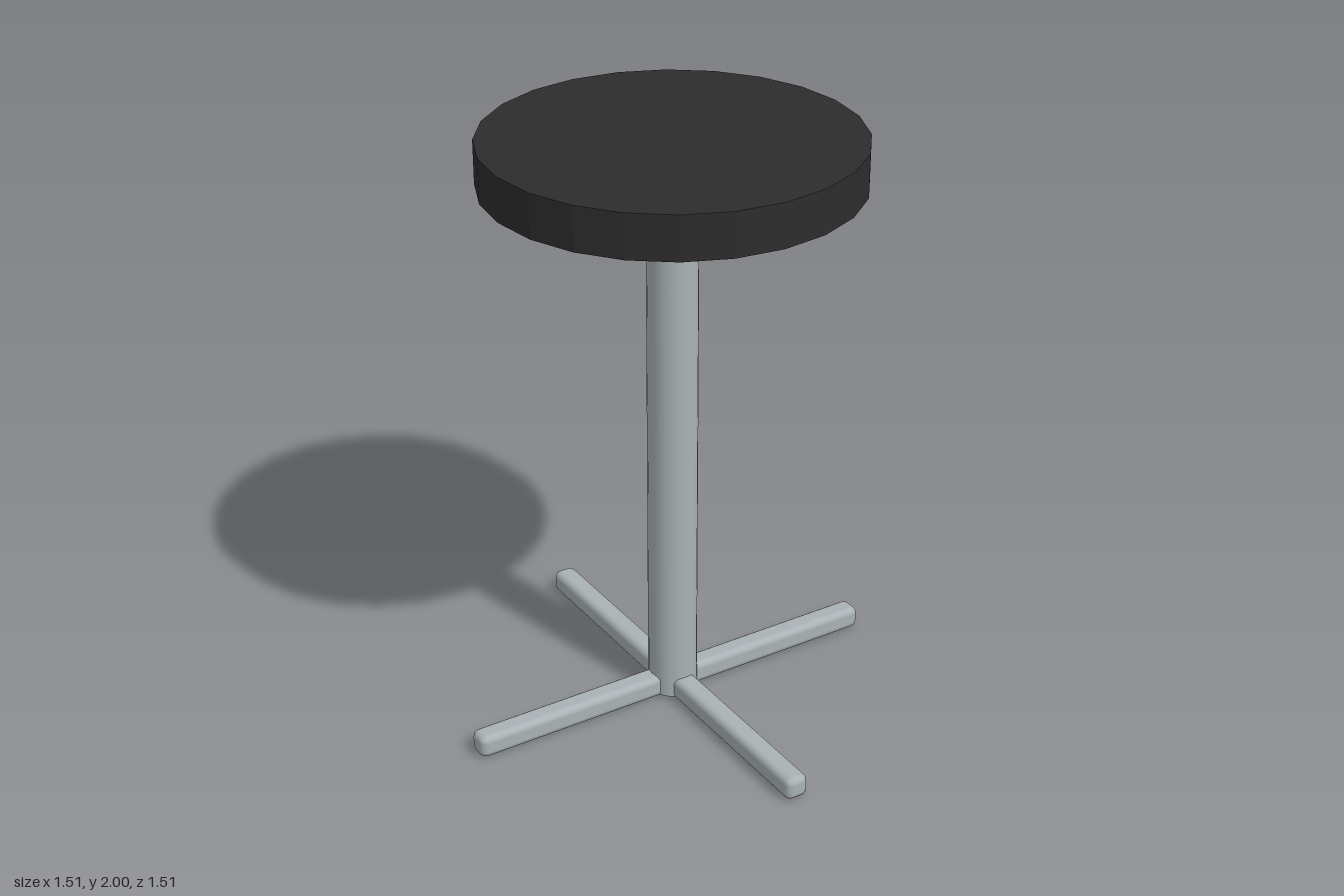
import * as THREE from 'three';
import { RoundedBoxGeometry } from 'three/addons/geometries/RoundedBoxGeometry.js';

export function createModel() {
  const group = new THREE.Group();
  const cushion = new THREE.MeshStandardMaterial({ color: 0x2d2d2d });
  cushion.name = 'black cushion';
  cushion.flatShading = true;
  const metal = new THREE.MeshStandardMaterial({ color: 0xa9b2b5 });
  metal.name = 'grey metal';

  const add = (name, geometry, material, y) => {
    const mesh = new THREE.Mesh(geometry, material);
    mesh.name = name;
    mesh.position.y = y;
    group.add(mesh);
    return mesh;
  };

  // Round seat with 24 flat sides
  add('seat', new THREE.CylinderGeometry(0.605, 0.605, 0.145, 24), cushion, 1.9275);

  // Central post, from just above the floor to the seat
  add('post', new THREE.CylinderGeometry(0.083, 0.083, 1.85, 24), metal, 0.935);

  // Two rounded bars crossing under the post make four feet
  for (const [name, angle] of [['sideFeet', 0], ['frontBackFeet', Math.PI / 2]]) {
    const bar = new RoundedBoxGeometry(1.51, 0.08, 0.08, 2, 0.024);
    add(name, bar, metal, 0.04).rotation.y = angle;
  }
  return group;
}
